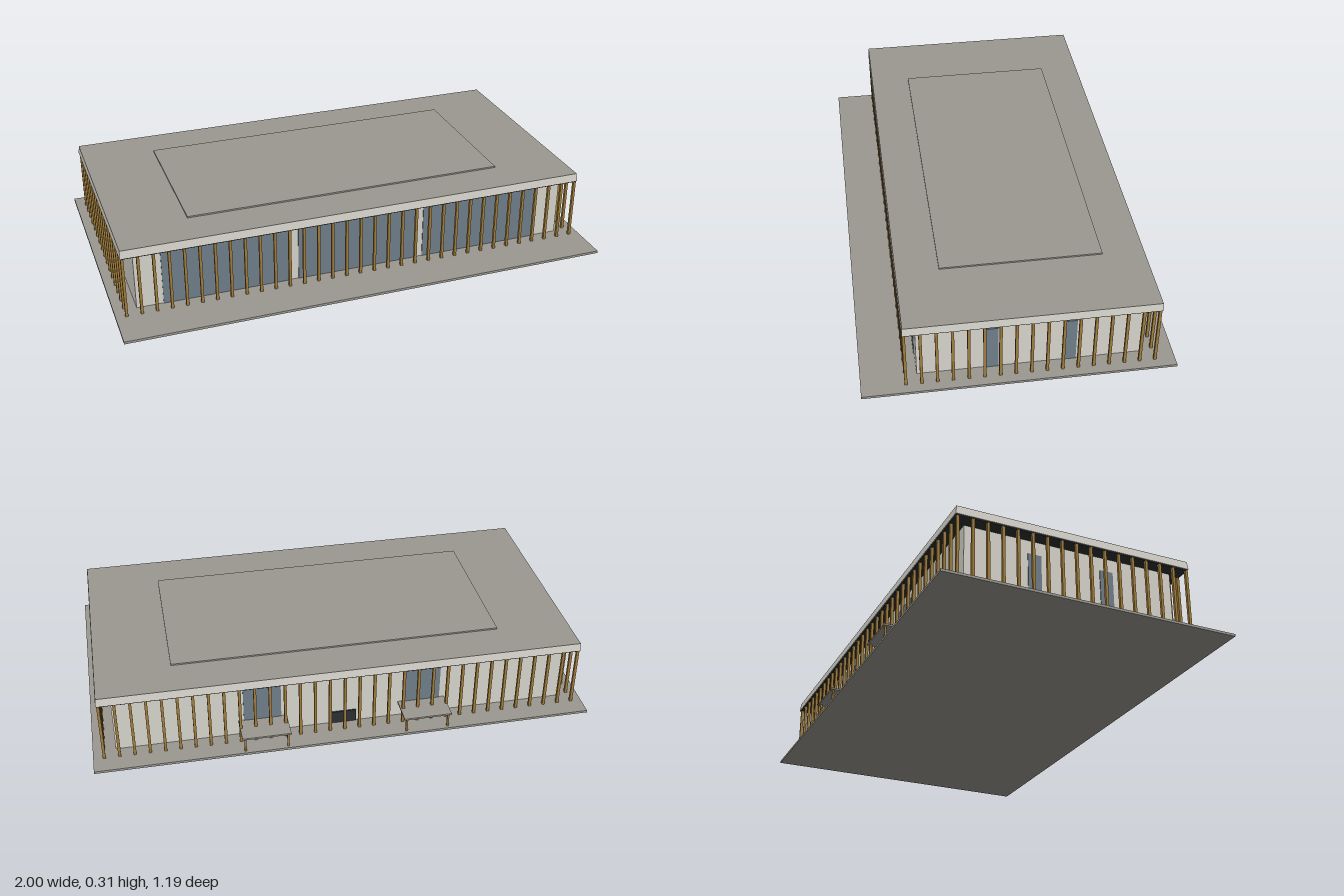
import * as THREE from 'three';

const mat = (name, color, extra = {}) => {
  const m = new THREE.MeshStandardMaterial({ color, ...extra });
  m.name = name;
  return m;
};

export function createModel() {
  const concrete = mat('concrete grey', 0x9a9890);
  const plaster = mat('pale plaster', 0xd6d4cb);
  const glass = mat('blue grey glass', 0x6f7d89);
  const bronze = mat('bronze', 0xa07c3c);
  const dark = mat('dark metal', 0x2c3032);

  const group = new THREE.Group();

  // Box given by its lower and upper corners
  const box = (name, material, [x0, y0, z0], [x1, y1, z1]) => {
    const mesh = new THREE.Mesh(new THREE.BoxGeometry(x1 - x0, y1 - y0, z1 - z0), material);
    mesh.position.set((x0 + x1) / 2, (y0 + y1) / 2, (z0 + z1) / 2);
    mesh.name = name;
    group.add(mesh);
    return mesh;
  };

  const floorY = 0.01, soffitY = 0.263;
  const wallX = 0.91, wallFront = 0.384, wallBack = -0.474;

  // Plinth and main volume
  box('groundSlab', concrete, [-1, 0, -0.597], [1, floorY, 0.597]);
  box('walls', plaster, [-wallX, floorY, wallBack], [wallX, soffitY, wallFront]);

  // Roof: dark soffit, slightly tapered fascia, grey deck and raised panel
  box('soffit', dark, [-0.963, soffitY, -0.526], [0.963, 0.268, 0.432]);
  const fascia = box('fascia', plaster, [-0.966, 0.268, -0.529], [0.966, 0.299, 0.435]);
  const pos = fascia.geometry.attributes.position;
  for (let i = 0; i < pos.count; i++) {
    if (pos.getY(i) > 0) {
      pos.setX(i, pos.getX(i) - Math.sign(pos.getX(i)) * 0.003);
      pos.setZ(i, pos.getZ(i) - Math.sign(pos.getZ(i)) * 0.003);
    }
  }
  fascia.geometry.computeVertexNormals();
  box('roofDeck', concrete, [-0.963, 0.299, -0.526], [0.963, 0.301, 0.432]);
  box('raisedRoofPanel', concrete, [-0.665, 0.301, -0.363], [0.665, 0.307, 0.267]);

  // Large front windows
  const t = 0.003;
  for (const [x0, x1] of [[-0.803, -0.288], [-0.25, 0.25], [0.288, 0.803]]) {
    box('frontWindow', glass, [x0, floorY, wallFront], [x1, 0.237, wallFront + t]);
  }

  // Narrow side windows
  for (const [z0, z1] of [[0.075, 0.13], [-0.222, -0.168]]) {
    box('leftWindow', glass, [wallX, floorY, z0], [wallX + t, 0.208, z1]);
    box('rightWindow', glass, [-wallX - t, floorY, z0], [-wallX, 0.208, z1]);
  }

  // Back doors, each under a low canopy on two posts
  for (const x of [-0.325, 0.325]) {
    box('backDoor', glass, [x - 0.075, floorY, wallBack - t], [x + 0.075, 0.225, wallBack]);
    box('canopy', concrete, [x - 0.097, 0.07, -0.592], [x + 0.097, 0.077, wallBack]);
    for (const s of [-1, 1]) {
      const px = x + s * 0.085;
      box('canopyPost', bronze, [px - 0.004, floorY, -0.586], [px + 0.004, 0.07, -0.578]);
    }
  }
  box('backVent', dark, [-0.055, 0.012, wallBack - 0.006], [0.055, 0.065, wallBack]);

  // Colonnade around all four sides
  const colX = 0.957, colFront = 0.428, colBack = -0.519, nx = 32, nz = 16, w = 0.0055;
  const column = (x, z) =>
    box('column', bronze, [x - w, floorY, z - w], [x + w, soffitY, z + w]);
  for (let i = 0; i <= nx; i++) {
    const x = -colX + (2 * colX * i) / nx;
    column(x, colFront);
    column(x, colBack);
  }
  for (let i = 1; i < nz; i++) {
    const z = colBack + ((colFront - colBack) * i) / nz;
    column(-colX, z);
    column(colX, z);
  }

  return group;
}
